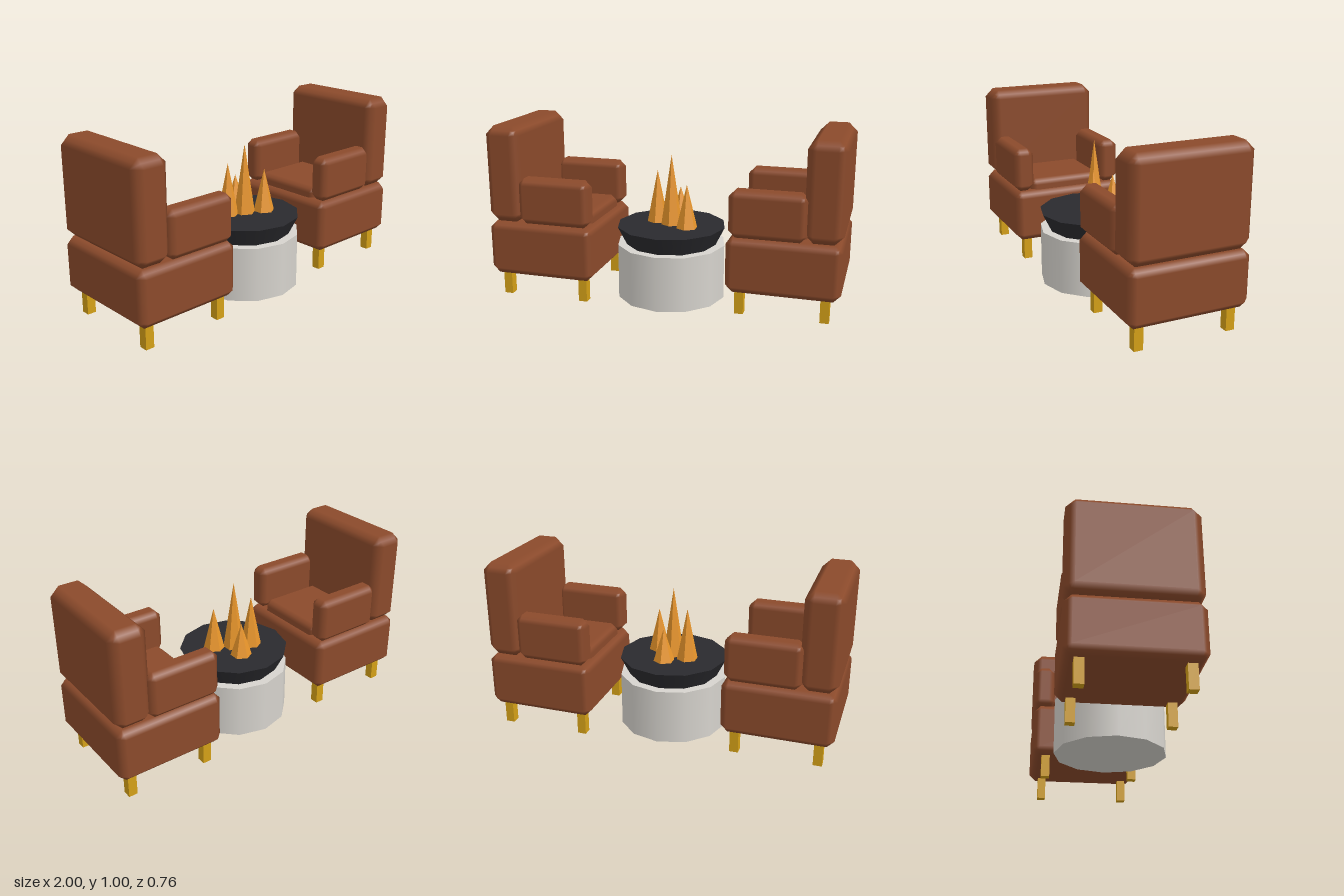
import * as THREE from 'three';

const leather = new THREE.MeshStandardMaterial({ color: 0x8b4a2b });
const brass = new THREE.MeshStandardMaterial({ color: 0xd4a017 });
const stone = new THREE.MeshStandardMaterial({ color: 0xd6d3cd });
const iron = new THREE.MeshStandardMaterial({ color: 0x2a2a2e });
const fire = new THREE.MeshStandardMaterial({ color: 0xe8952b, flatShading: true });

function add(parent, name, geometry, material, x = 0, y = 0, z = 0) {
  const mesh = new THREE.Mesh(geometry, material);
  mesh.name = name;
  mesh.position.set(x, y, z);
  parent.add(mesh);
  return mesh;
}

// Box with straight chamfers of size c and normals blended across them
function chamferBox(w, h, d, c) {
  const g = new THREE.BoxGeometry(1, 1, 1, 3, 3, 3);
  const pos = g.attributes.position, nor = g.attributes.normal;
  const inner = new THREE.Vector3(w / 2 - c, h / 2 - c, d / 2 - c);
  const p = new THREE.Vector3(), dir = new THREE.Vector3();
  for (let i = 0; i < pos.count; i++) {
    p.fromBufferAttribute(pos, i);
    // Outward direction: only the axes on which the vertex lies on the outside
    dir.set(...p.toArray().map(v => (Math.abs(v) > 0.4 ? Math.sign(v) : 0)));
    const span = Math.abs(dir.x) + Math.abs(dir.y) + Math.abs(dir.z);
    pos.setXYZ(i,
      Math.sign(p.x) * inner.x + dir.x * c / span,
      Math.sign(p.y) * inner.y + dir.y * c / span,
      Math.sign(p.z) * inner.z + dir.z * c / span);
    dir.normalize();
    nor.setXYZ(i, dir.x, dir.y, dir.z);
  }
  return g;
}

// Cushion given by its extents on each axis
function cushion(parent, name, [x0, x1], [y0, y1], [z0, z1], c) {
  add(parent, name, chamferBox(x1 - x0, y1 - y0, z1 - z0, c), leather,
    (x0 + x1) / 2, (y0 + y1) / 2, (z0 + z1) / 2);
}

// Armchair on the -x side, looking towards the fire
function armchair(name) {
  const chair = new THREE.Group();
  chair.name = name;
  cushion(chair, 'chairBase', [-1, -0.372], [0.133, 0.447], [-0.305, 0.38], 0.04);
  cushion(chair, 'backrest', [-1, -0.79], [0.447, 1], [-0.305, 0.38], 0.05);
  cushion(chair, 'seatCushion', [-0.82, -0.41], [0.4, 0.51], [-0.2, 0.27], 0.035);
  cushion(chair, 'backArm', [-0.81, -0.385], [0.447, 0.712], [-0.305, -0.18], 0.038);
  cushion(chair, 'frontArm', [-0.81, -0.385], [0.447, 0.712], [0.255, 0.38], 0.038);
  for (const x of [-0.918, -0.448])
    for (const z of [-0.225, 0.3])
      add(chair, 'leg', new THREE.BoxGeometry(0.05, 0.14, 0.05), brass, x, 0.07, z);
  return chair;
}

export function createModel() {
  const model = new THREE.Group();
  model.name = 'firesideSeating';

  // Two chairs facing each other
  model.add(armchair('rightArmchair'));
  const opposite = armchair('leftArmchair');
  opposite.rotation.y = Math.PI;
  model.add(opposite);

  // Fire pit
  const pit = new THREE.Group();
  pit.name = 'firePit';
  pit.position.z = 0.038;
  add(pit, 'pitBase', new THREE.CylinderGeometry(0.315, 0.315, 0.317, 12), stone, 0, 0.1585, 0);
  add(pit, 'fireBowl', new THREE.CylinderGeometry(0.315, 0.263, 0.105, 12), iron, 0, 0.3695, 0);
  model.add(pit);

  // Flames: x, z and tip height
  const flames = [[0, 0.035, 0.83], [-0.095, -0.003, 0.727], [0.105, 0.088, 0.675], [0.025, -0.07, 0.62]];
  for (const [x, z, top] of flames) {
    const h = top - 0.42;
    add(model, 'flame', new THREE.ConeGeometry(0.062, h, 6), fire, x, 0.42 + h / 2, z);
  }
  return model;
}
